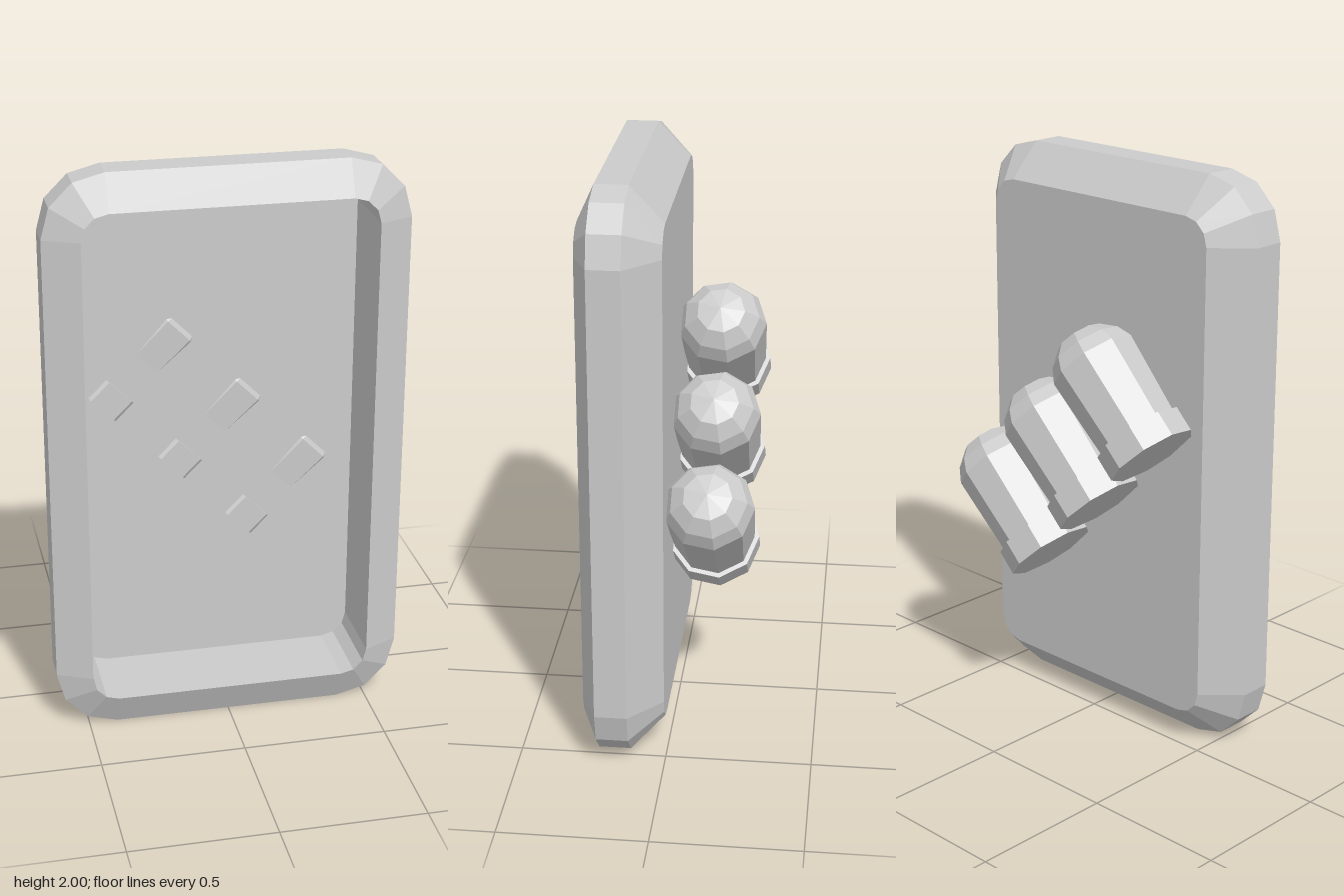
import * as THREE from 'three';

const material = new THREE.MeshStandardMaterial({ color: 0xcccccc, flatShading: true });
const sheetMaterial = new THREE.MeshStandardMaterial({ color: 0xcccccc, flatShading: true, side: THREE.DoubleSide });

const CORNER_X = 0.4, CORNER_Y = 0.79, MID_Y = 1, CORNER_STEPS = 3;
const PANEL_Z = 0.007;

// Rounded rectangle outline, counter-clockwise seen from the front
function outline(radius) {
  const points = [];
  const corners = [[1, 1], [-1, 1], [-1, -1], [1, -1]];
  corners.forEach(([sx, sy], q) => {
    for (let i = 0; i <= CORNER_STEPS; i++) {
      const a = (q + i / CORNER_STEPS) * Math.PI / 2;
      points.push(new THREE.Vector2(
        sx * CORNER_X + radius * Math.cos(a),
        MID_Y + sy * CORNER_Y + radius * Math.sin(a)));
    }
  });
  return points;
}

// Bevelled frame: the section [corner radius, z] swept round the outline
function frameGeometry(section) {
  const positions = [];
  const index = [];
  const n = outline(1).length;
  section.forEach(([radius, z]) => outline(radius).forEach(p => positions.push(p.x, p.y, z)));
  for (let k = 0; k < section.length - 1; k++) {
    for (let i = 0; i < n; i++) {
      const j = (i + 1) % n;
      const a = k * n + i, b = k * n + j, c = b + n, d = a + n;
      index.push(a, b, c, a, c, d);
    }
  }
  const geometry = new THREE.BufferGeometry();
  geometry.setAttribute('position', new THREE.Float32BufferAttribute(positions, 3));
  geometry.setIndex(index);
  geometry.computeVertexNormals();
  return geometry;
}

// Domed round with a base rim, nine-sided
function roundGeometry() {
  const profile = [
    [0, -0.045], [0.157, -0.045], [0.157, 0.045], // rim
    [0.141, 0.045], [0.154, 0.335],               // flaring body
    [0.131, 0.385], [0.083, 0.43], [0, 0.452],    // dome
  ].map(([r, y]) => new THREE.Vector2(r, y));
  return new THREE.LatheGeometry(profile, 9, Math.PI, Math.PI * 2);
}

export function createModel() {
  const model = new THREE.Group();
  model.name = 'plaque';

  const frame = new THREE.Mesh(frameGeometry([
    [0.09, PANEL_Z], [0.21, 0.12], [0.21, 0.23], [0.09, 0.285], [0.09, PANEL_Z],
  ]), material);
  frame.name = 'frame';
  model.add(frame);

  // Thin sheet closing the back of the frame
  const panel = new THREE.Mesh(new THREE.ShapeGeometry(new THREE.Shape(outline(0.09))), sheetMaterial);
  panel.position.z = PANEL_Z;
  panel.name = 'backPanel';
  model.add(panel);

  // Diagonal row of three rounds, just breaking through the panel
  const rounds = new THREE.Group();
  rounds.name = 'rounds';
  const geometry = roundGeometry();
  for (let i = -1; i <= 1; i++) {
    const round = new THREE.Mesh(geometry, material);
    round.position.set(-0.124 + 0.239 * i, 0.891 - 0.239 * i, -0.131);
    round.rotation.z = -Math.PI / 4;
    round.name = 'round' + (i + 2);
    rounds.add(round);
  }
  model.add(rounds);
  return model;
}
